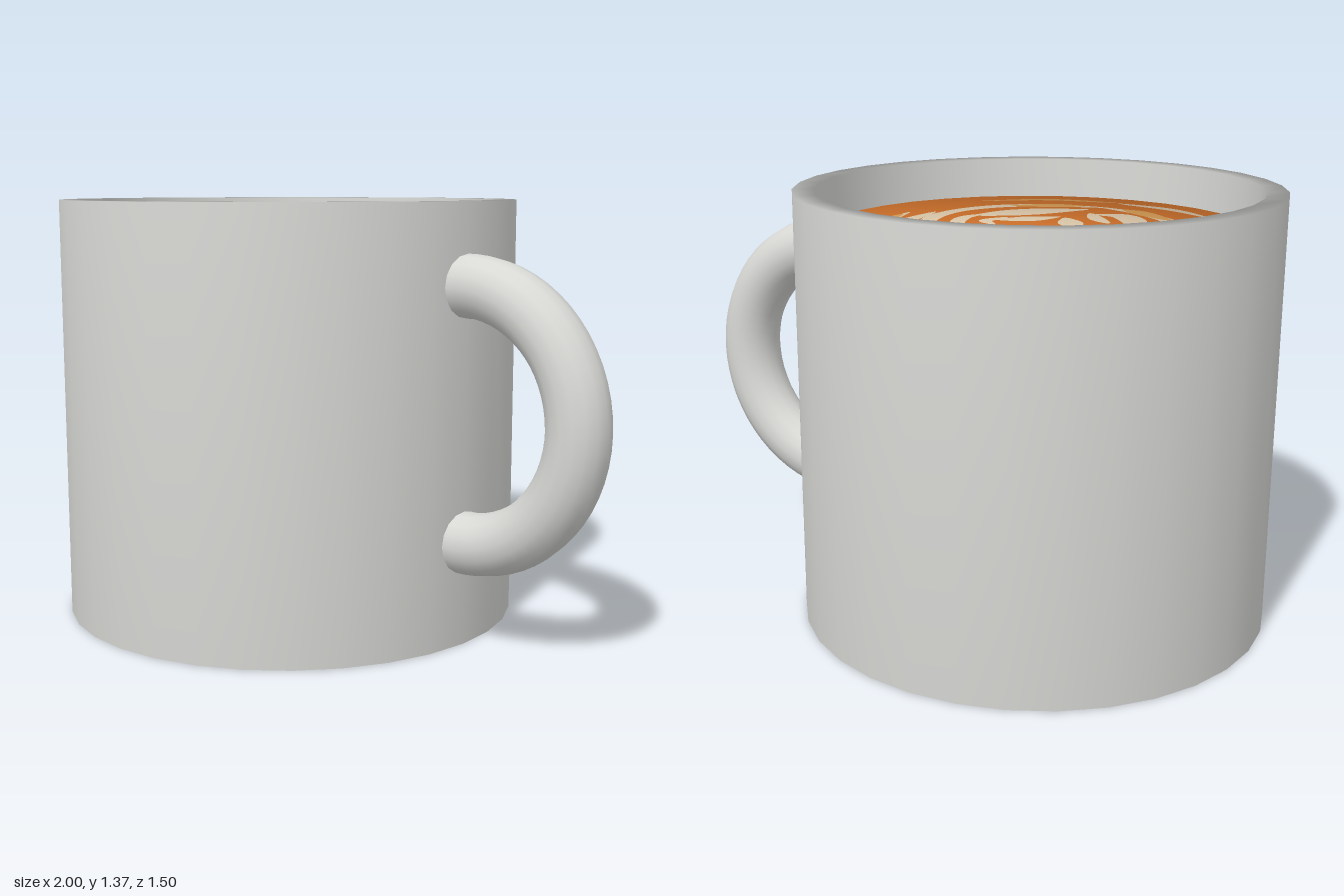
import * as THREE from 'three';
import { mergeGeometries } from 'three/addons/utils/BufferGeometryUtils.js';

const CUP_X = -0.25, OUTER = 0.75, INNER = 0.683, HEIGHT = 1.365;
const LEVEL = 1.235, SIDES = 32;

const flat = (name, color) => {
  const m = new THREE.MeshStandardMaterial({ color });
  m.name = name;
  return m;
};

const lathe = (points) =>
  new THREE.LatheGeometry(points.map(([x, y]) => new THREE.Vector2(x, y)), SIDES);

// Flat tapered brush stroke lying on the drink.
// Each point is [x, z, half width] in hundredths, measured from the cup's axis.
function stroke(y, points) {
  const steps = 8 * (points.length - 1);
  const curve = new THREE.CatmullRomCurve3(
    points.map(([x, z, w]) => new THREE.Vector3(x / 100, w / 100, z / 100)));
  const pos = [], nor = [], index = [];
  for (let i = 0; i <= steps; i++) {
    const t = i / steps;
    const p = curve.getPoint(t), d = curve.getTangent(t);
    const len = Math.hypot(d.x, d.z) || 1;
    const w = p.y * Math.pow(Math.max(0, Math.sin(Math.PI * t)), 0.4); // rounded ends
    for (const s of [1, -1]) {
      const x = p.x + s * w * d.z / len, z = p.z - s * w * d.x / len;
      pos.push(x, y, z);
      // same soft normals as the liquid, leaning outward toward the rim
      const k = Math.SQRT1_2 / INNER, r = Math.hypot(x, z) / INNER;
      const n = new THREE.Vector3(x * k, 1 - (1 - Math.SQRT1_2) * r, z * k).normalize();
      nor.push(n.x, n.y, n.z);
    }
    if (i < steps) {
      const a = 2 * i;
      index.push(a, a + 1, a + 2, a + 1, a + 3, a + 2);
    }
  }
  const g = new THREE.BufferGeometry();
  g.setAttribute('position', new THREE.Float32BufferAttribute(pos, 3));
  g.setAttribute('normal', new THREE.Float32BufferAttribute(nor, 3));
  g.setIndex(index);
  return g;
}

export function createModel() {
  const ceramic = flat('ceramic', 0xd8d8d5);
  const coffee = flat('coffee', 0xd4742c);
  const cream = flat('cream foam', 0xe0ccae);
  const tan = flat('tan foam', 0xdca056);

  const model = new THREE.Group();
  const cup = new THREE.Group();
  cup.name = 'cup';
  cup.position.x = CUP_X;
  model.add(cup);
  const add = (parent, name, geometry, material) => {
    const mesh = new THREE.Mesh(geometry, material);
    mesh.name = name;
    parent.add(mesh);
    return mesh;
  };

  // Wall, base and liquid
  add(cup, 'wall', lathe([[INNER, 0], [OUTER, 0], [OUTER, HEIGHT], [INNER, HEIGHT], [INNER, 0]]), ceramic);
  add(cup, 'base', lathe([[0, 0], [INNER, 0], [INNER + 0.001, 0.6]]), ceramic);
  add(cup, 'liquid', lathe([[INNER + 0.001, 0.6], [INNER, LEVEL], [0, LEVEL]]), coffee);

  // Handle: half ring whose ends run slightly into the wall
  const overlap = 0.06;
  const ring = new THREE.TorusGeometry(0.394, 0.097, 16, 32, Math.PI + 2 * overlap);
  ring.rotateZ(-Math.PI / 2 - overlap);
  add(model, 'handle', ring, ceramic).position.set(0.509, 0.72, 0);

  // Foam art
  const foam = [], shade = [];
  const white = (...p) => foam.push(stroke(LEVEL + 0.003, p));
  const toned = (...p) => shade.push(stroke(LEVEL + 0.005, p));
  const both = (...p) => {
    white(...p);
    white(...p.map(([x, z, w]) => [-x + 1, z, w]));
  };

  // Crest at the top
  white([-14, -56, 2.5], [-8, -53, 3.2], [-2, -56, 2.5]);
  white([2, -61, 2], [8, -57, 2.6], [9, -49, 2.4], [1, -46, 1.6], [-8, -46, 1.4]);
  white([11, -50, 1.5], [18, -51, 2.8], [23, -44, 3], [16, -38, 2.6], [7, -39, 1.5]);
  white([-22, -60, 1.5], [-29, -53, 3], [-32, -43, 3.6], [-33, -33, 3], [-28, -29, 2.6], [-21, -33, 2]);
  white([-31, -35, 2.5], [-16, -36, 2.6], [0, -39, 2], [20, -35, 1.6]);
  white([-19, -57, 1.8], [-22, -49, 2.4], [-15, -43, 2.2], [-2, -42, 1.5]);
  white([-20, -32, 1.5], [-10, -30, 3], [-13, -19, 1]);

  // Heart
  both([-6, -23, 4.5], [-5.5, -14, 5.6], [-3, -5, 4], [0.5, 6, 0.8]);

  // Nested fronds
  both([-17, -15, 1.5], [-28, -16, 2.5], [-37, -2, 3], [-38, 16, 2.5],
    [-30, 32, 2.8], [-15, 42, 3], [2, 47, 2.5]);
  both([-15, -8, 1.5], [-24, -6, 2.3], [-29, 6, 2.4], [-27, 15, 1.6]);
  both([-14, -1, 1.5], [-20, 4, 2.2], [-17, 14, 1.5]);
  white([-18, -23, 1.5], [-33, -22, 2.5], [-42, -10, 3.2], [-46, 8, 2]);
  white([28, -43, 2], [40, -29, 2.5], [48, -10, 2], [51, 6, 1.3]);
  white([20, -28, 1.5], [32, -26, 2.8], [42, -10, 3], [44, 11, 2]);

  // Leaves
  white([-10, 5, 2.5], [-4, 14, 4], [2, 22, 2]);
  white([19, 7, 2.5], [11, 14, 4.4], [4, 23, 2]);
  white([-24, 12, 3], [-21, 25, 4.2], [-12, 34, 4], [-3, 32, 2]);
  white([-15, 19, 1.8], [-8, 25, 2.6], [-1, 34, 2]);
  white([29, 11, 4], [21, 22, 6], [12, 32, 5], [2, 41, 1.5]);

  // Loose swirls near the rim
  white([-55, 4, 1], [-52, 20, 1.6], [-41, 36, 1]);
  white([-40, 44, 1], [-21, 54, 1.9], [0, 57, 1.5]);

  // Tan touches
  toned([0, 57, 1.4], [24, 51, 1.5], [43, 36, 0.8]);
  toned([-30, 33, 2.5], [-15, 42, 3.2], [-8, 45, 2]);
  toned([6, 45, 2], [16, 41, 3.2], [28, 33, 2.5]);
  toned([-9, -19, 2.4], [-6, -18, 2.8], [-2, -19, 2]);
  toned([5, -21, 2.4], [8, -20, 2.8], [11, -20, 2]);
  toned([-30, -52, 2.5], [-32, -46, 3.2], [-33, -40, 2.4]);
  toned([22, -46, 2.4], [22, -41, 3], [17, -38, 2]);
  toned([-41, -14, 2.6], [-44, -8, 3], [-45, -2, 2]);
  toned([28, -43, 1.8], [32, -39, 2.2], [36, -35, 1.8]);
  toned([46, -16, 1.6], [49, -8, 1.8], [50, 0, 1.3]);

  add(cup, 'foamArt', mergeGeometries(foam), cream);
  add(cup, 'foamShade', mergeGeometries(shade), tan);
  return model;
}
